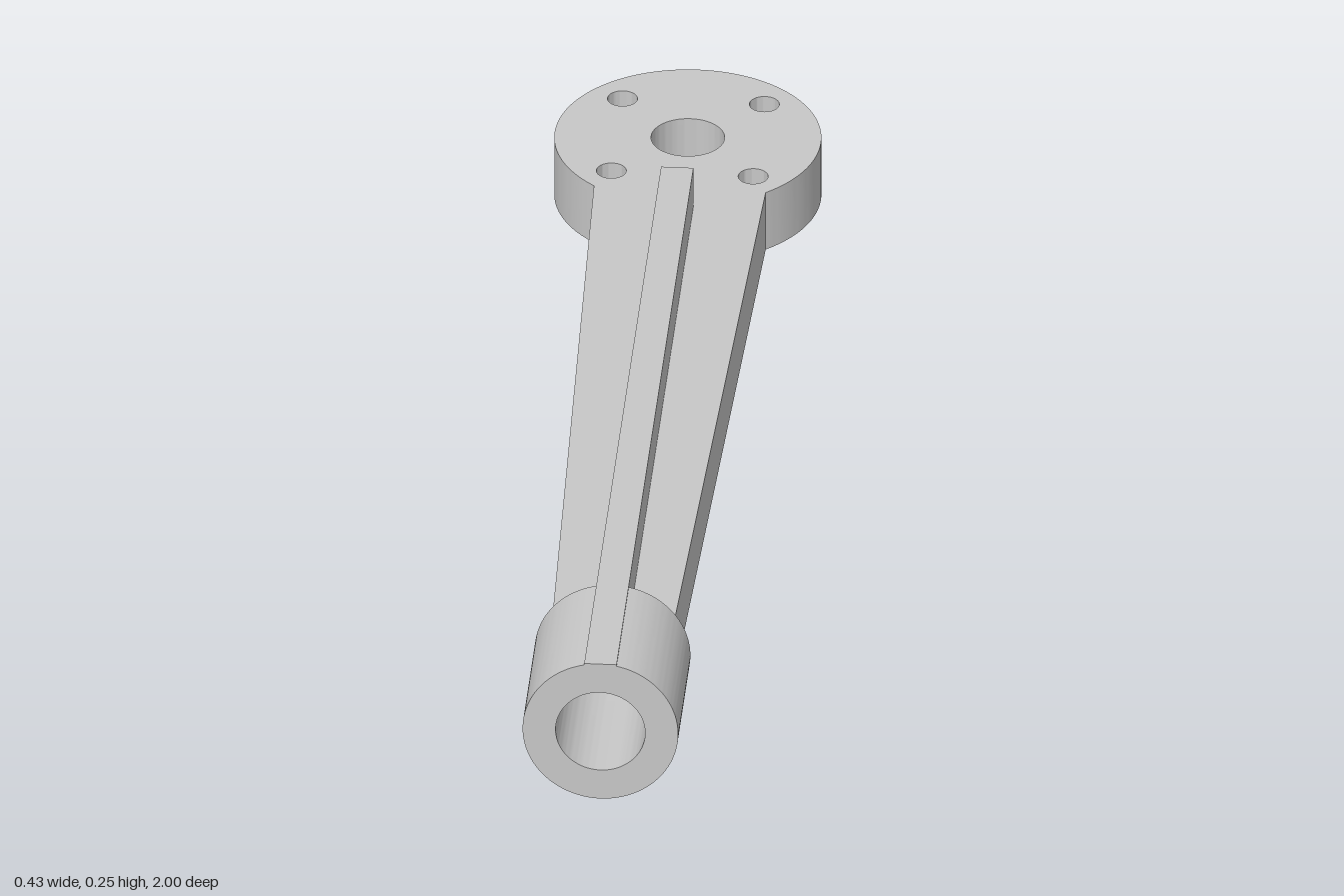
import * as THREE from 'three';
import { toCreasedNormals } from 'three/addons/utils/BufferGeometryUtils.js';

const PLATE_BOTTOM = 0.0725, PLATE_TOP = 0.1785;
const HUB_Z = -0.786, HUB_R = 0.214;
const AXIS_Y = 0.125, TUBE_R = 0.125, BORE_R = 0.072;
const BORE_END = 0.732, TUBE_BACK = 0.75, FRONT = 1;
const RIB_W = 0.026, RIB_TOP = 0.25, RIB_BACK = -0.57;

function circlePath(x, y, r) {
  return new THREE.Path().absarc(x, y, r, 0, Math.PI * 2, false);
}

function extrude(shape, depth) {
  const geometry = new THREE.ExtrudeGeometry(shape, { depth, bevelEnabled: false, curveSegments: 64 });
  return toCreasedNormals(geometry, 0.5);
}

export function createModel() {
  const group = new THREE.Group();
  const grey = new THREE.MeshStandardMaterial({ color: 0xc8c8c8 });
  grey.name = 'grey';

  function add(name, geometry, x = 0, y = 0, z = 0) {
    const mesh = new THREE.Mesh(geometry, grey);
    mesh.name = name;
    mesh.position.set(x, y, z);
    group.add(mesh);
  }

  // Tapered arm and round mounting flange, drawn in plan
  const joinX = 0.138, joinZ = Math.sqrt(HUB_R ** 2 - joinX ** 2);
  const joinAngle = Math.atan2(joinZ, joinX);
  const plate = new THREE.Shape();
  plate.moveTo(-0.098, BORE_END);
  plate.lineTo(0.098, BORE_END);
  plate.lineTo(joinX, HUB_Z + joinZ);
  plate.absarc(0, HUB_Z, HUB_R, joinAngle, Math.PI - joinAngle, true);
  plate.closePath();

  // Centre hole and four bolt holes
  plate.holes.push(circlePath(0, HUB_Z, 0.059));
  for (const sx of [-1, 1]) {
    for (const sz of [-1, 1]) {
      plate.holes.push(circlePath(sx * 0.114, HUB_Z + sz * 0.114, 0.024));
    }
  }
  const plateGeometry = extrude(plate, PLATE_TOP - PLATE_BOTTOM).rotateX(Math.PI / 2);
  add('armAndFlange', plateGeometry, 0, PLATE_TOP, 0);

  // Short cheeks beside the bore, joining the arm to the tube
  const top = Math.asin((PLATE_TOP - AXIS_Y) / BORE_R);
  const bottom = Math.asin((PLATE_BOTTOM - AXIS_Y) / BORE_R);
  for (const side of [1, -1]) {
    const cheek = new THREE.Shape();
    cheek.moveTo(side * 0.098, PLATE_BOTTOM);
    cheek.lineTo(side * 0.098, PLATE_TOP);
    if (side > 0) cheek.absarc(0, AXIS_Y, BORE_R, top, bottom, true);
    else cheek.absarc(0, AXIS_Y, BORE_R, Math.PI - top, Math.PI - bottom, false);
    cheek.closePath();
    add(side > 0 ? 'leftCheek' : 'rightCheek', extrude(cheek, TUBE_BACK - BORE_END), 0, 0, BORE_END);
  }

  // Stiffening rib in side profile, notched underneath where the bore ends
  const notchY = AXIS_Y + BORE_R;
  const rib = new THREE.Shape();
  rib.moveTo(RIB_BACK, PLATE_TOP);
  rib.lineTo(BORE_END, PLATE_TOP);
  rib.lineTo(BORE_END, notchY);
  rib.lineTo(TUBE_BACK, notchY);
  rib.lineTo(TUBE_BACK, RIB_TOP);
  rib.lineTo(RIB_BACK, RIB_TOP);
  rib.closePath();
  add('rib', extrude(rib, RIB_W * 2).rotateY(-Math.PI / 2), RIB_W, 0, 0);

  // Socket tube with the flat top of the rib carried along it
  const keyAngle = Math.acos(RIB_W / TUBE_R);
  const tube = new THREE.Shape();
  tube.moveTo(RIB_W, RIB_TOP);
  tube.lineTo(-RIB_W, RIB_TOP);
  tube.absarc(0, AXIS_Y, TUBE_R, Math.PI - keyAngle, Math.PI * 2 + keyAngle, false);
  tube.closePath();
  tube.holes.push(circlePath(0, AXIS_Y, BORE_R));
  add('socketTube', extrude(tube, FRONT - TUBE_BACK), 0, 0, TUBE_BACK);

  return group;
}
